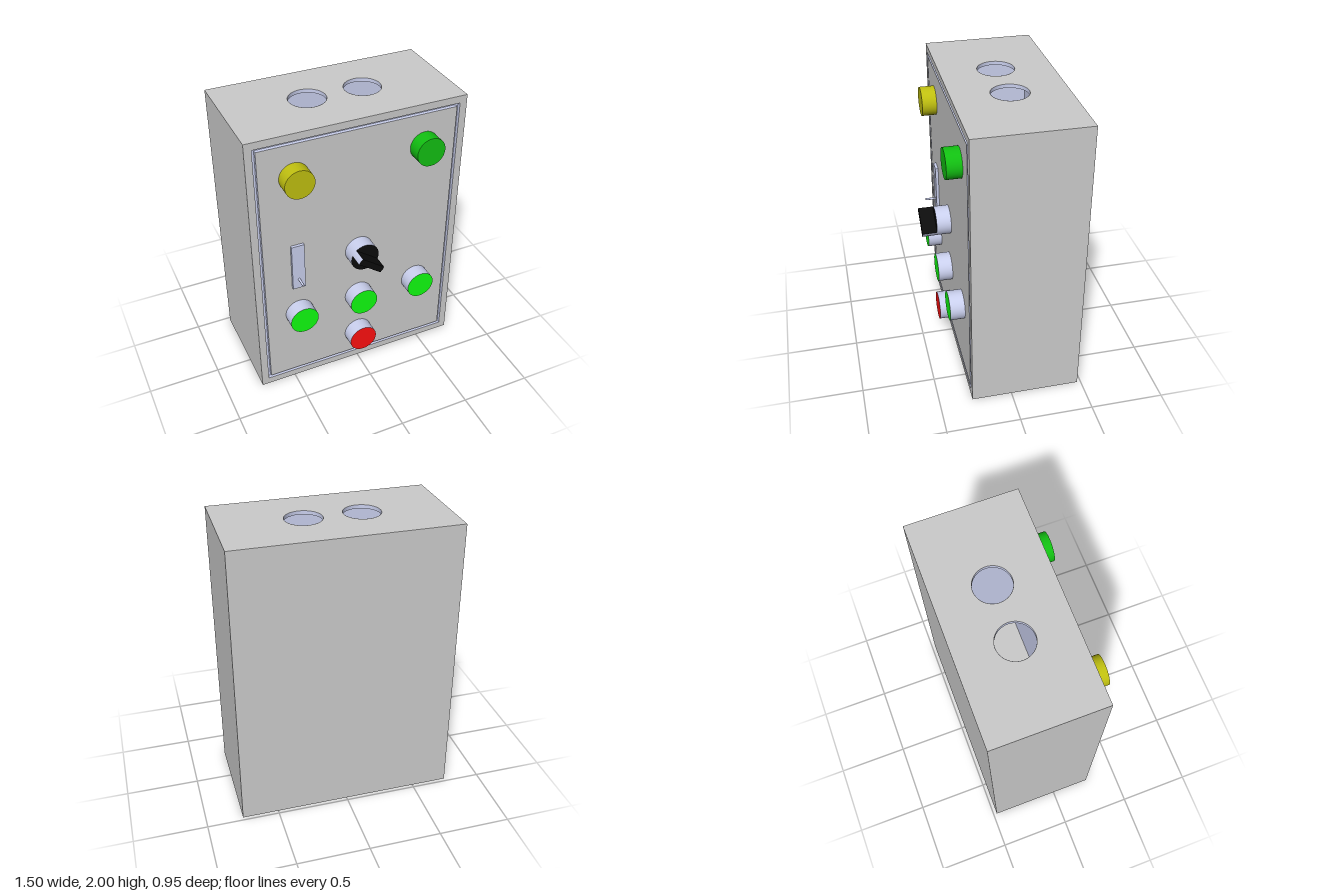
import * as THREE from 'three';

const mat = (color) => new THREE.MeshStandardMaterial({ color });

export function createModel() {
  const model = new THREE.Group();
  const grey = mat(0xcccccc), metal = mat(0xcad0ee), black = mat(0x0c0c0c);
  const W = 1.5, H = 2, BACK = -0.475, FRONT = 0.275, T = 0.025;
  const D = FRONT - BACK, midZ = (FRONT + BACK) / 2;

  function add(name, geometry, material, x = 0, y = 0, z = 0, parent = model) {
    const mesh = new THREE.Mesh(geometry, material);
    mesh.name = name;
    mesh.position.set(x, y, z);
    parent.add(mesh);
    return mesh;
  }
  const rect = (w, h, cx = 0, cy = 0, Kind = THREE.Shape) => {
    const s = new Kind();
    s.moveTo(cx - w / 2, cy - h / 2);
    s.lineTo(cx + w / 2, cy - h / 2);
    s.lineTo(cx + w / 2, cy + h / 2);
    s.lineTo(cx - w / 2, cy + h / 2);
    s.closePath();
    return s;
  };
  const extrude = (shape, depth) =>
    new THREE.ExtrudeGeometry(shape, { depth, bevelEnabled: false, curveSegments: 32 });
  // box material list: px, nx, py, ny, pz, nz; listed faces are bare metal
  const faces = (...bare) => [0, 1, 2, 3, 4, 5].map((i) => (bare.includes(i) ? metal : grey));

  // Hollow cabinet: back and side walls, bare metal inside
  const cabinet = new THREE.Group();
  cabinet.name = 'cabinet';
  model.add(cabinet);
  add('backWall', new THREE.BoxGeometry(W, H - 2 * T, T), faces(4), 0, H / 2, BACK + T / 2, cabinet);
  for (const s of [1, -1]) {
    add(s > 0 ? 'leftWall' : 'rightWall', new THREE.BoxGeometry(T, H - 2 * T, D - T),
      faces(s > 0 ? 1 : 0), s * (W - T) / 2, H / 2, midZ + T / 2, cabinet);
  }

  // Top and bottom plates with two lined cable holes each
  const holes = [-0.195, 0.19], holeZ = -0.1, holeR = 0.125;
  const plate = rect(W, D, 0, -midZ);
  for (const x of holes) {
    const hole = new THREE.Path();
    hole.absarc(x, -holeZ, holeR, 0, Math.PI * 2, true);
    plate.holes.push(hole);
  }
  const liner = mat(0xcad0ee);
  liner.side = THREE.DoubleSide;
  for (const [name, y] of [['topPlate', H - T], ['bottomPlate', 0]]) {
    add(name, extrude(plate, T), grey, 0, y, 0, cabinet).rotation.x = -Math.PI / 2;
    for (const x of holes) {
      add('cableHoleLiner', new THREE.CylinderGeometry(holeR - 0.001, holeR - 0.001, T, 64, 1, true),
        liner, x, y + T / 2, holeZ, cabinet);
    }
  }

  // Front frame, groove floor and door
  const frame = rect(W - 2 * T, H - 2 * T);
  frame.holes.push(rect(1.4, 1.9, 0, 0, THREE.Path));
  add('frontFrame', extrude(frame, T), [grey, metal], 0, H / 2, FRONT - T, cabinet);
  add('grooveFloor', new THREE.BoxGeometry(W - 2 * T, H - 2 * T, T), metal, 0, H / 2, FRONT - 1.5 * T, cabinet);
  add('door', new THREE.BoxGeometry(1.36, 1.86, T), faces(0, 1, 2, 3), 0, H / 2, FRONT - T / 2);

  // Round lamps, buttons and selector base: cylinder along z
  const R = 0.1;
  function knob(name, x, y, side, cap) {
    const g = new THREE.CylinderGeometry(R, R, 0.1, 64);
    g.rotateX(Math.PI / 2);
    add(name, g, [side, cap, side], x, y, FRONT + 0.05);
  }
  const yellow = mat(0xc0c010), darkGreen = mat(0x12c012), green = mat(0x10ff10), red = mat(0xff1010);
  knob('yellowLamp', -0.445, 1.7, yellow, yellow);
  knob('greenLamp', 0.455, 1.7, darkGreen, darkGreen);
  for (const x of [-0.445, 0, 0.445]) knob('greenButton', x, 0.6, metal, green);
  knob('redButton', 0, 0.25, metal, red);
  knob('selectorBase', 0, 1, metal, black);

  // Selector handle: slanted bar with rounded metal ends
  const half = 0.23, bar = new THREE.Shape();
  bar.absarc(0, 0, R, -half, half, false);
  bar.absarc(0, 0, R, Math.PI - half, Math.PI + half, false);
  bar.closePath();
  const handle = new THREE.Group();
  handle.name = 'selectorHandle';
  handle.position.set(0, 1, FRONT + 0.1);
  handle.rotation.z = -0.63;
  model.add(handle);
  add('handleBar', extrude(bar, 0.1), black, 0, 0, 0, handle);
  for (const start of [0, Math.PI]) {
    // cylinder angles run from +z; turned to lie along the bar
    const cap = new THREE.CylinderGeometry(R + 0.001, R + 0.001, 0.1, 12, 1, true, start + Math.PI / 2 - half, 2 * half);
    cap.rotateX(Math.PI / 2);
    add('handleEnd', cap, metal, 0, 0, 0.05, handle);
  }

  // Door latch plate with a small pin
  add('latchPlate', new THREE.BoxGeometry(0.09, 0.35, 0.02), metal, -0.445, 1.005, FRONT + 0.01);
  const pin = new THREE.CylinderGeometry(0.008, 0.008, 0.08, 16);
  pin.rotateX(Math.PI / 2);
  add('latchPin', pin, metal, -0.445, 0.905, FRONT + 0.055);

  return model;
}
